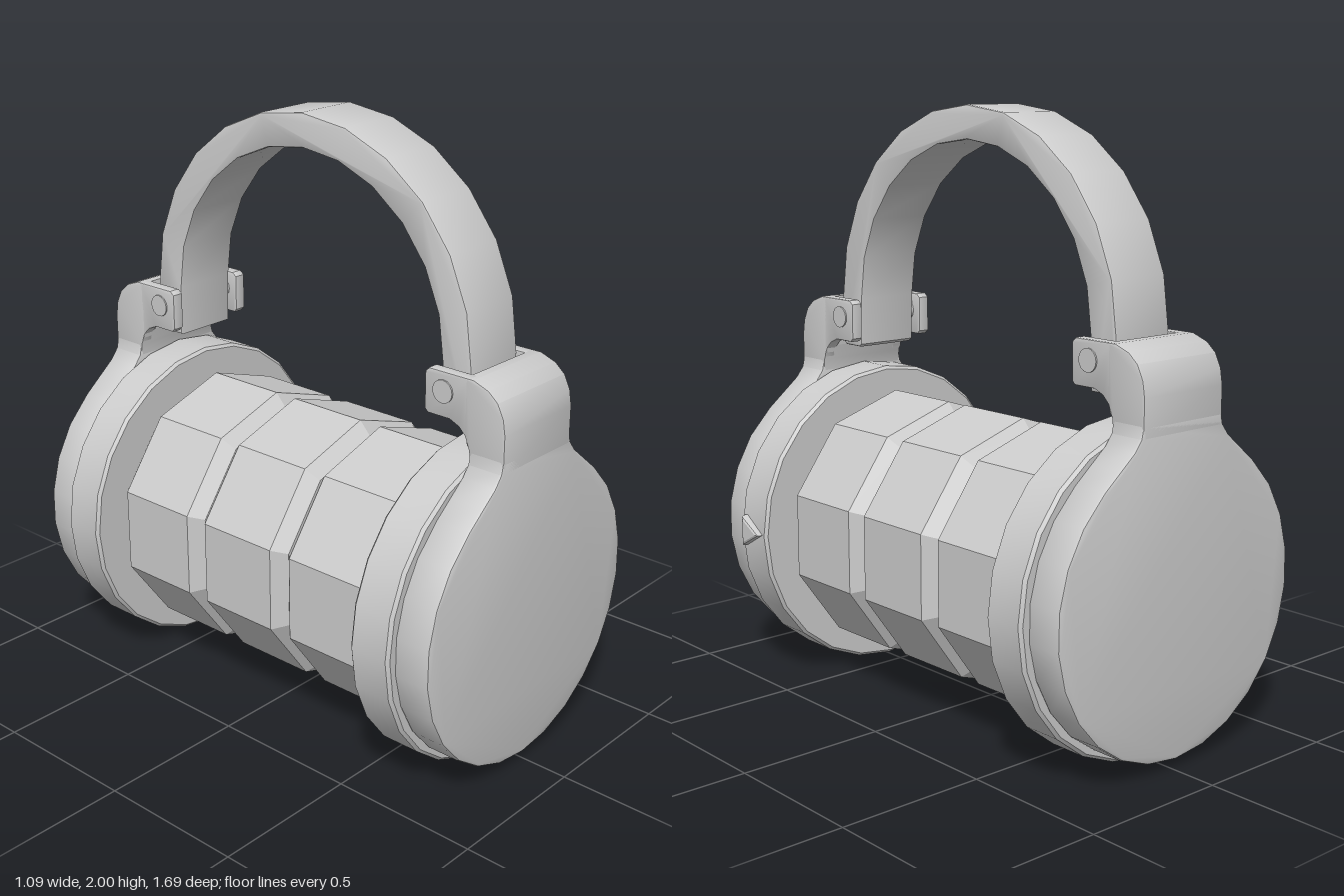
import * as THREE from 'three';
import { toCreasedNormals } from 'three/addons/utils/BufferGeometryUtils.js';

const material = new THREE.MeshStandardMaterial({ color: 0xcccccc });
const AXIS_Y = 0.54; // height of the barrel axis

function add(parent, name, geometry, crease = 0.5) {
  const flat = geometry.index ? geometry.toNonIndexed() : geometry;
  const mesh = new THREE.Mesh(toCreasedNormals(flat, crease), material);
  mesh.name = name;
  parent.add(mesh);
  return mesh;
}

const toShape = (pts) => new THREE.Shape(pts.map(([x, y]) => new THREE.Vector2(x, y)));

function extrude(pts, depth, bevel) {
  return new THREE.ExtrudeGeometry(toShape(pts), {
    depth: depth - 2 * bevel, bevelEnabled: bevel > 0, bevelThickness: bevel,
    bevelSize: bevel, bevelOffset: -bevel, bevelSegments: 2,
  }).translate(0, 0, bevel);
}

// Side profile in (z, y), extruded across x and centred on x = cx
function sideExtrude(pts, width, cx, bevel = 0.006) {
  return extrude(pts, width, bevel).rotateY(-Math.PI / 2).translate(cx + width / 2, 0, 0);
}

// Profile in (radius, z) turned around the barrel axis
function turned(profile, sides) {
  const pts = profile.map(([r, z]) => new THREE.Vector2(r, z));
  return new THREE.LatheGeometry(pts, sides).rotateX(Math.PI / 2).translate(0, AXIS_Y, 0);
}

function capOutline() {
  const pts = [];
  for (let i = 0; i <= 20; i++) {
    const a = THREE.MathUtils.degToRad(130 + 14 * i);
    pts.push([0.505 * Math.cos(a), AXIS_Y + 0.505 * Math.sin(a)]);
  }
  // flare from the disc into the neck, mirrored
  const neck = [[0.26, 0.98], [0.205, 1.025], [0.178, 1.06], [0.169, 1.1]];
  return [...pts, ...neck, ...neck.reverse().map(([x, y]) => [-x, y])];
}

function createEnd(name) {
  const end = new THREE.Group();
  end.name = name;

  const b = 0.01;
  add(end, 'collar', turned([[0, 0.57], [0.535 - b, 0.57], [0.535, 0.57 + b],
    [0.535, 0.72 - b], [0.535 - b, 0.72], [0, 0.72]], 24));
  add(end, 'cap', extrude(capOutline(), 0.127, 0.01).translate(0, 0, 0.718));

  // Bracket: solid web curving over the top, and two ears holding the handle
  const web = [[0.845, 1.06], [0.845, 1.18], [0.837, 1.23], [0.815, 1.275], [0.78, 1.305],
    [0.725, 1.325], [0.695, 1.325], [0.695, 1.15], [0.715, 1.1], [0.718, 1.06]];
  add(end, 'bracketWeb', sideExtrude(web, 0.34, 0));
  const ear = [[0.71, 1.325], [0.56, 1.325], [0.545, 1.312], [0.545, 1.192], [0.557, 1.18],
    [0.64, 1.18], [0.675, 1.165], [0.7, 1.14], [0.71, 1.11]];
  for (const s of [-1, 1]) {
    add(end, 'bracketEar', sideExtrude(ear, 0.042, s * 0.149));
    add(end, 'pin', new THREE.CylinderGeometry(0.037, 0.037, 0.06, 16)
      .rotateZ(Math.PI / 2).translate(s * 0.145, 1.263, 0.615));
  }
  return end;
}

function handleProfile() {
  const cy = 1.325, outer = [], inner = [];
  for (let i = 0; i <= 12; i++) {
    const a = (Math.PI * i) / 12;
    outer.push([0.675 * Math.cos(a), cy + 0.675 * Math.sin(a)]);
    inner.unshift([0.565 * Math.cos(a), cy + 0.565 * Math.sin(a)]);
  }
  // front leg runs full depth; rear leg ends in a narrow catch
  return [[0.57, 1.165], [0.58, 1.155], [0.66, 1.155], [0.675, 1.17], ...outer,
    [-0.67, 1.29], [-0.62, 1.26], [-0.62, 1.155], [-0.57, 1.155], ...inner];
}

export function createModel() {
  const model = new THREE.Group();
  model.name = 'barrelWithHandle';
  const body = new THREE.Group();
  body.name = 'body';
  body.position.x = -0.01;
  model.add(body);

  // Three ten-sided barrel sections with chamfered ends
  const half = 0.1885, chamfer = 0.042;
  for (const i of [-1, 0, 1]) {
    const z = i * 2 * half;
    add(body, 'barrelSection', turned([[0, z - half], [0.41, z - half],
      [0.455, z - half + chamfer], [0.455, z + half - chamfer],
      [0.41, z + half], [0, z + half]], 10), 0.3);
  }

  // Matching ends, front and back
  body.add(createEnd('frontEnd'));
  const back = createEnd('backEnd');
  back.rotation.y = Math.PI;
  body.add(back);

  add(body, 'handle', sideExtrude(handleProfile(), 0.23, 0, 0.008));

  // Raised triangular marker on the left side of the front collar
  add(body, 'marker', sideExtrude([[0.69, 0.49], [0.69, 0.598], [0.59, 0.544]], 0.06, 0.525, 0.012));

  return model;
}
